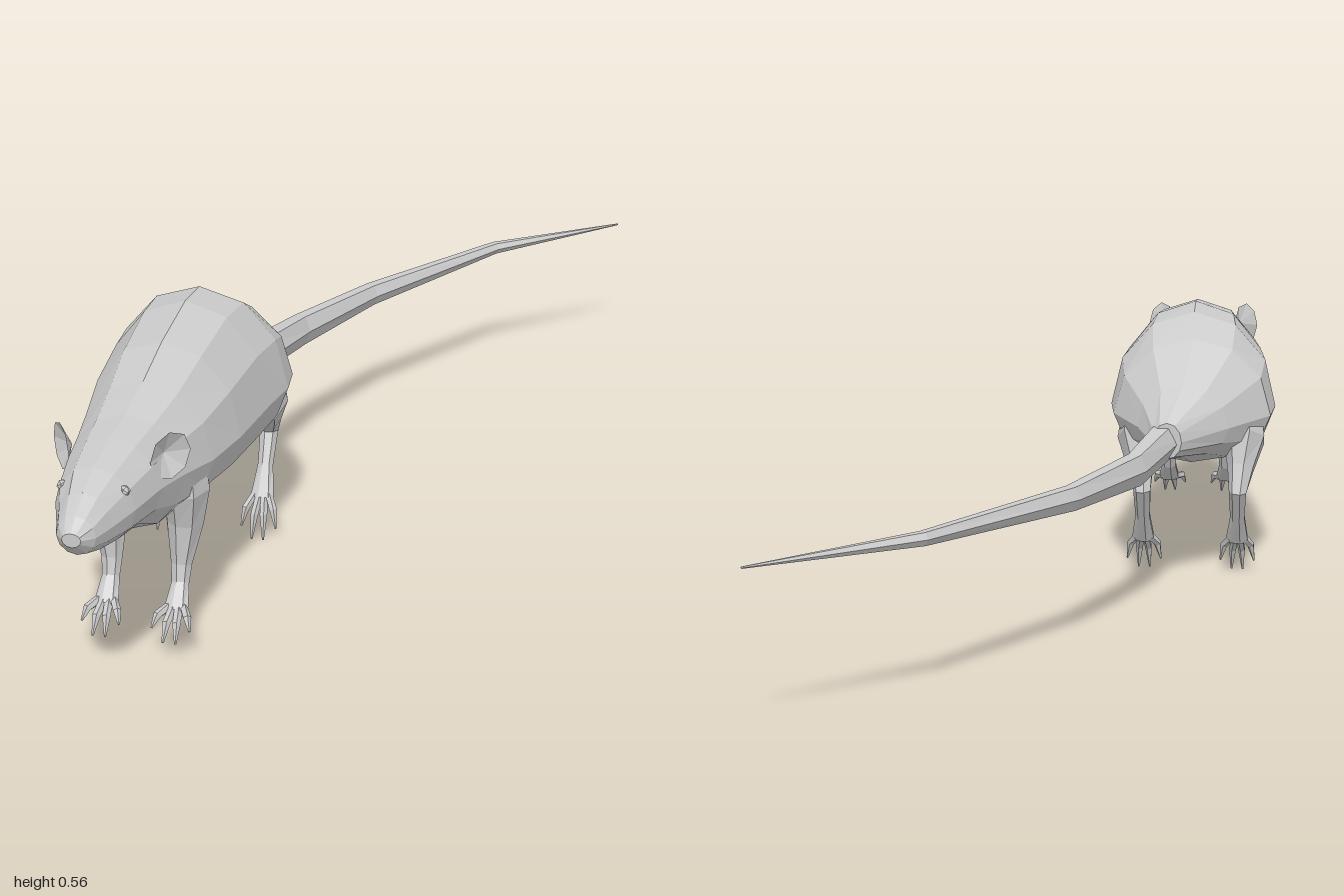
import * as THREE from 'three';

const mat = new THREE.MeshStandardMaterial({ color: 0xcccccc, flatShading: true });
const thinMat = new THREE.MeshStandardMaterial({ color: 0xcccccc, flatShading: true, side: THREE.DoubleSide });

// Skin a list of rings (equal point counts) and close both ends with fans.
function loft(name, rings) {
  const n = rings[0].length, pos = [];
  const tri = (...pts) => pts.forEach((p) => pos.push(p.x, p.y, p.z));
  const middle = (ring) => ring.reduce((m, p) => m.add(p), new THREE.Vector3()).divideScalar(n);
  for (let i = 0; i < rings.length - 1; i++) {
    for (let j = 0; j < n; j++) {
      const k = (j + 1) % n, a = rings[i], b = rings[i + 1];
      tri(a[j], a[k], b[k]);
      tri(a[j], b[k], b[j]);
    }
  }
  const first = rings[0], last = rings[rings.length - 1];
  const c0 = middle(first), c1 = middle(last);
  for (let j = 0; j < n; j++) {
    const k = (j + 1) % n;
    tri(c0, first[k], first[j]);
    tri(c1, last[j], last[k]);
  }
  const geo = new THREE.BufferGeometry();
  geo.setAttribute('position', new THREE.Float32BufferAttribute(pos, 3));
  geo.computeVertexNormals();
  const mesh = new THREE.Mesh(geo, mat);
  mesh.name = name;
  return mesh;
}

// Tapered limb along points [x, y, z, sideRadius, otherRadius].
function limb(name, pts, sides) {
  const c = pts.map((p) => new THREE.Vector3(p[0], p[1], p[2]));
  const rings = pts.map((p, i) => {
    const t = c[Math.min(i + 1, c.length - 1)].clone().sub(c[Math.max(i - 1, 0)]).normalize();
    const s = new THREE.Vector3(1, 0, 0).addScaledVector(t, -t.x).normalize();
    const u = t.clone().cross(s);
    return Array.from({ length: sides }, (_, j) => {
      const a = (j / sides) * Math.PI * 2;
      return c[i].clone().addScaledVector(s, p[3] * Math.cos(a)).addScaledVector(u, p[4] * Math.sin(a));
    });
  });
  return loft(name, rings);
}

// Four spread toes running from the end of a foot.
function addToes(group, name, s, x, y, z, tipY, tipZ) {
  for (let i = 0; i < 4; i++) {
    const f = i - 1.5, outer = Math.abs(f) > 1;
    const ty = tipY + (outer ? 0.022 : 0), tz = tipZ - (outer ? 0.012 : 0);
    group.add(limb(name, [
      [s * (x + f * 0.01), y, z, 0.008, 0.01],
      [s * (x + f * 0.019), (y + ty) / 2 + 0.008, (z + tz) / 2 + 0.006, 0.008, 0.009],
      [s * (x + f * 0.024), ty, tz, 0.002, 0.003],
    ], 5));
  }
}

export function createModel() {
  const model = new THREE.Group();
  model.name = 'rat';
  const body = new THREE.Group();
  body.name = 'bodyAndLegs';
  body.position.x = -0.27;
  model.add(body);

  // Torso and head: [z, centre x, half width, top, widest height, bottom]
  const sections = [
    [-0.03, 0.045, 0.03, 0.37, 0.33, 0.295],
    [0.05, 0.015, 0.095, 0.435, 0.345, 0.282],
    [0.14, 0, 0.165, 0.515, 0.355, 0.252],
    [0.22, 0, 0.175, 0.56, 0.36, 0.238],
    [0.32, 0, 0.163, 0.568, 0.365, 0.234],
    [0.48, 0, 0.148, 0.548, 0.37, 0.25],
    [0.6, 0, 0.127, 0.52, 0.375, 0.265],
    [0.7, -0.004, 0.105, 0.498, 0.39, 0.272],
    [0.78, -0.006, 0.09, 0.488, 0.4, 0.315],
    [0.87, -0.008, 0.072, 0.474, 0.4, 0.33],
    [0.93, -0.008, 0.05, 0.455, 0.395, 0.343],
    [0.975, -0.008, 0.035, 0.432, 0.395, 0.36],
    [1.0, -0.008, 0.017, 0.412, 0.4, 0.386],
  ];
  body.add(loft('torsoAndHead', sections.map(([z, x, w, top, mid, low]) =>
    Array.from({ length: 12 }, (_, j) => {
      const a = (j / 12) * Math.PI * 2, h = Math.sin(a);
      return new THREE.Vector3(x + w * Math.cos(a), mid + h * (h > 0 ? top - mid : mid - low), z);
    }))));

  for (const s of [-1, 1]) {
    // Front leg, from shoulder to paw
    body.add(limb('frontLeg', [
      [s * 0.078, 0.41, 0.6, 0.03, 0.065],
      [s * 0.078, 0.32, 0.605, 0.042, 0.065],
      [s * 0.073, 0.25, 0.605, 0.034, 0.044],
      [s * 0.067, 0.17, 0.622, 0.02, 0.02],
      [s * 0.067, 0.135, 0.635, 0.017, 0.015],
      [s * 0.067, 0.095, 0.672, 0.024, 0.011],
    ], 7));
    addToes(body, 'frontToe', s, 0.067, 0.1, 0.668, 0.053, 0.72);

    // Hind leg: thigh, hock and long foot
    body.add(limb('hindLeg', [
      [s * 0.1, 0.38, 0.19, 0.045, 0.08],
      [s * 0.112, 0.3, 0.15, 0.045, 0.065],
      [s * 0.105, 0.245, 0.11, 0.028, 0.035],
      [s * 0.1, 0.203, 0.082, 0.019, 0.022],
      [s * 0.1, 0.14, 0.118, 0.016, 0.015],
      [s * 0.1, 0.08, 0.155, 0.025, 0.012],
    ], 7));
    addToes(body, 'hindToe', s, 0.1, 0.085, 0.152, 0.006, 0.197);

    // Cupped ear
    const earGeo = new THREE.CircleGeometry(0.045, 8);
    earGeo.attributes.position.setZ(0, -0.02);
    const ear = new THREE.Mesh(earGeo, thinMat);
    ear.name = 'ear';
    ear.position.set(s * 0.1 - 0.006, 0.452, 0.755);
    ear.rotation.set(0, s * 0.95, 0);
    body.add(ear);

    // Small eye set into the head
    const eye = new THREE.Mesh(new THREE.IcosahedronGeometry(0.011, 0), mat);
    eye.name = 'eye';
    eye.position.set(s * 0.055 - 0.008, 0.437, 0.875);
    body.add(eye);
  }

  // Long tail sweeping to the left
  model.add(limb('tail', [
    [-0.225, 0.33, 0.03, 0.036, 0.04],
    [-0.17, 0.311, -0.2, 0.026, 0.036],
    [-0.065, 0.31, -0.44, 0.022, 0.026],
    [0.163, 0.316, -0.78, 0.015, 0.014],
    [0.43, 0.318, -1.0, 0.002, 0.002],
  ], 6));

  return model;
}
